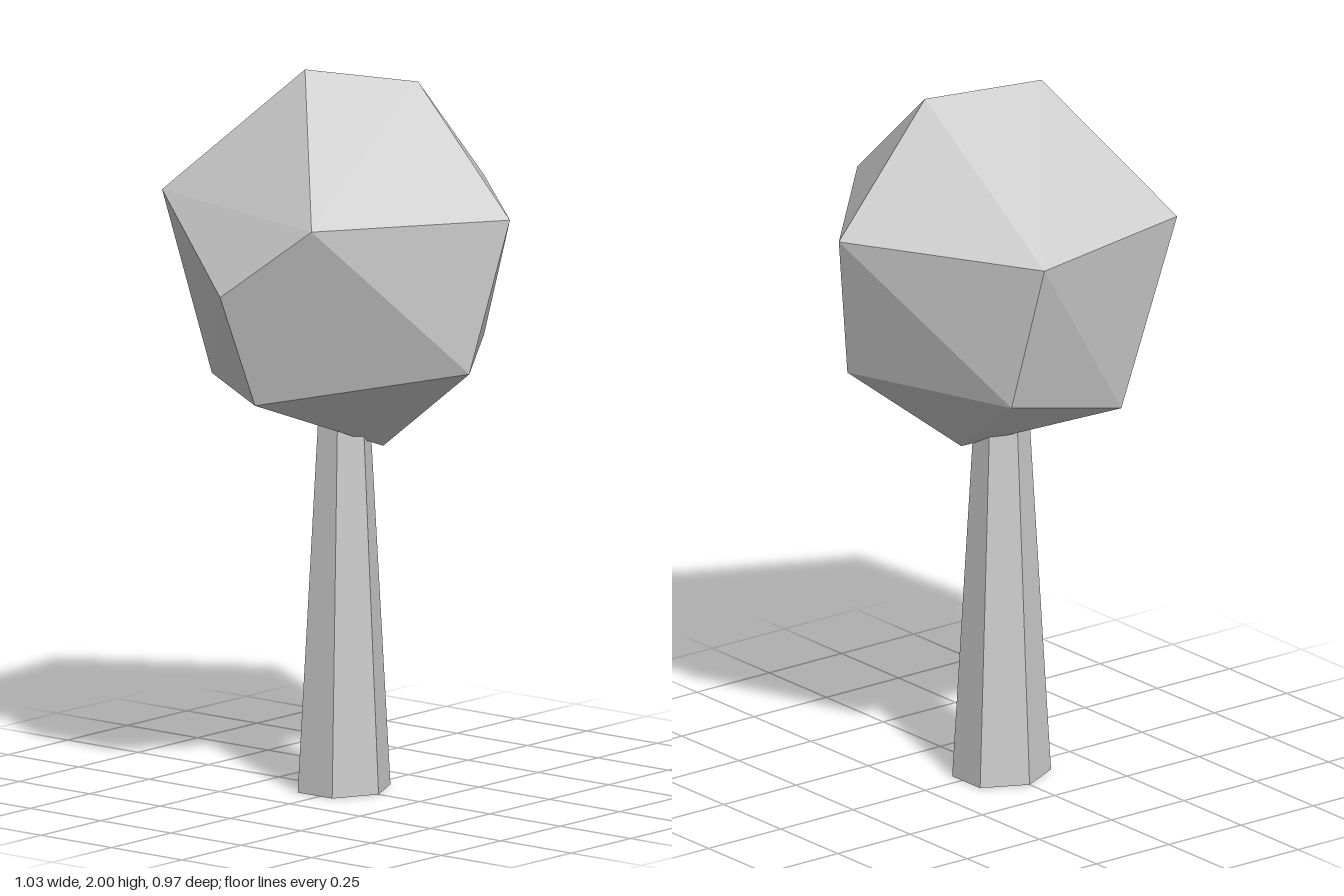
import * as THREE from 'three';
import { ConvexGeometry } from 'three/addons/geometries/ConvexGeometry.js';

export function createModel() {
  const tree = new THREE.Group();
  tree.name = 'tree';
  const material = new THREE.MeshStandardMaterial({ color: 0xcccccc, flatShading: true });

  // Trunk: tapered six-sided post, running up into the crown
  const height = 1.1;
  const trunk = new THREE.Mesh(new THREE.CylinderGeometry(0.065, 0.1225, height, 6), material);
  trunk.name = 'trunk';
  trunk.scale.x = 1.155;
  trunk.position.set(0, height / 2, -0.018);
  tree.add(trunk);

  // Crown: irregular faceted ball, the hull of its corner points
  const corners = [
    // top ridge
    [-0.085, 2.0, -0.085], [0.172, 1.95, 0.1],
    // upper ring
    [0.515, 1.63, 0.043], [0.1, 1.63, 0.487], [-0.44, 1.65, 0.238],
    [-0.29, 1.655, -0.42], [0.222, 1.63, -0.487],
    // side corner
    [-0.517, 1.445, -0.022],
    // lower ring
    [0, 1.21, 0.427], [0.423, 1.21, 0.122], [-0.42, 1.135, 0.02],
    [-0.13, 1.125, -0.378], [0.25, 1.21, -0.378],
    // bottom
    [0.09, 0.945, 0.045],
  ].map((p) => new THREE.Vector3(...p));
  const crown = new THREE.Mesh(new ConvexGeometry(corners), material);
  crown.name = 'crown';
  tree.add(crown);

  return tree;
}
